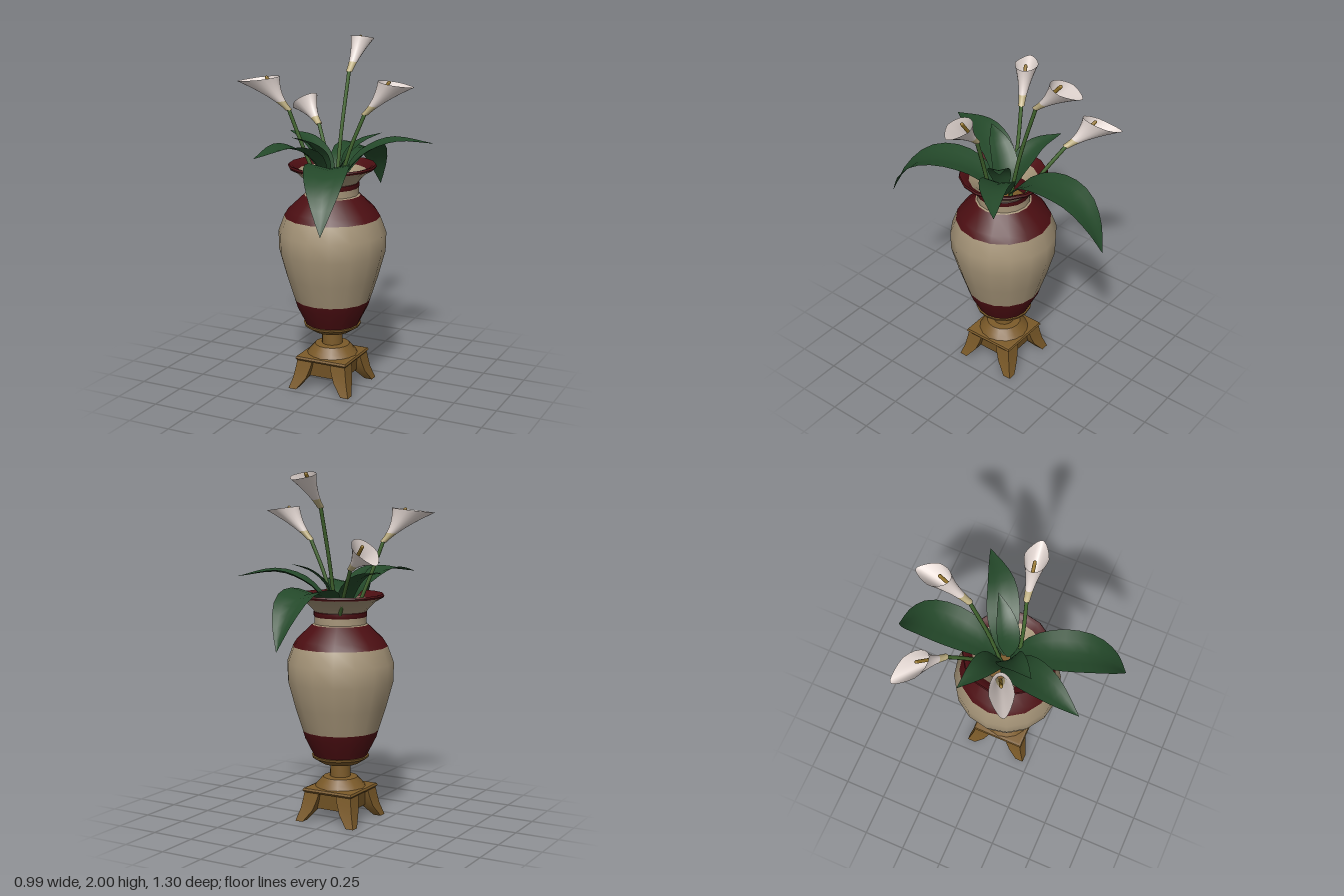
import * as THREE from 'three';
import { toCreasedNormals } from 'three/addons/utils/BufferGeometryUtils.js';

const V = (x, y, z) => new THREE.Vector3(x, y, z);

function material(name, color, side = THREE.FrontSide) {
  const m = new THREE.MeshStandardMaterial({ color, side });
  m.name = name;
  return m;
}

function add(parent, name, geometry, mat) {
  const mesh = new THREE.Mesh(geometry, mat);
  mesh.name = name;
  parent.add(mesh);
  return mesh;
}

// Skin a list of point rows; closed rows wrap around
function loft(rows, closed) {
  const n = rows[0].length, index = [];
  for (let i = 0; i < rows.length - 1; i++) {
    for (let j = 0; j < (closed ? n : n - 1); j++) {
      const k = (j + 1) % n;
      const a = i * n + j, b = i * n + k, c = a + n, d = b + n;
      index.push(a, b, c, b, d, c);
    }
  }
  const g = new THREE.BufferGeometry().setFromPoints(rows.flat());
  g.setIndex(index);
  g.computeVertexNormals();
  return g;
}

// Capped solid of square sections [y, min, max], min and max on both x and z
function squareStack(sections) {
  const rows = sections.map(([y, a, b]) => [V(b, y, b), V(b, y, a), V(a, y, a), V(a, y, b)]);
  const cap = ([y, a, b]) => Array.from({ length: 4 }, () => V((a + b) / 2, y, (a + b) / 2));
  rows.unshift(cap(sections[0]));
  rows.push(cap(sections[sections.length - 1]));
  return toCreasedNormals(loft(rows, true), 0.5);
}

function turned(points, crease = 0.7) {
  const g = new THREE.LatheGeometry(points.map(([r, y]) => new THREE.Vector2(r, y)), 16);
  return toCreasedNormals(g, crease);
}

// Leaf along a spine, folded into a shallow V
function leafGeometry(points, halfWidth) {
  const curve = new THREE.CatmullRomCurve3(points.map(p => V(...p)));
  const rows = [];
  for (let i = 0; i <= 12; i++) {
    const u = i / 12, p = curve.getPointAt(u), t = curve.getTangentAt(u);
    const side = V(t.z, 0, -t.x).normalize();
    const up = t.clone().cross(side);
    const w = halfWidth * (Math.sin(Math.PI * Math.pow(u, 0.9)) + 0.12 * (1 - u));
    rows.push([-1, -0.5, 0, 0.5, 1].map(s =>
      p.clone().addScaledVector(side, s * w).addScaledVector(up, 0.22 * w * Math.abs(s))));
  }
  return loft(rows, false);
}

// Trumpet petal between fractions t0 and t1 of its length
function petalGeometry(base, near, tip, t0, t1, steps) {
  const center = near.clone().lerp(tip, 0.5);
  const half = tip.clone().sub(near).multiplyScalar(0.5);
  const along = half.clone().normalize();
  const side = along.clone().cross(V(0, 1, 0)).normalize();
  const rows = [];
  for (let i = 0; i <= steps; i++) {
    const t = t0 + (t1 - t0) * i / steps;
    const flare = Math.pow(t, 1.8), tube = 0.018 * (1 - t * t);
    const row = [];
    for (let j = 0; j < 20; j++) {
      const a = j / 20 * Math.PI * 2, c = Math.cos(a), s = Math.sin(a);
      const width = 0.066 * s * (1 - 0.4 * Math.max(0, c));
      row.push(base.clone().lerp(center, t)
        .addScaledVector(half, c * flare).addScaledVector(side, width * flare)
        .addScaledVector(along, c * tube).addScaledVector(side, s * tube));
    }
    rows.push(row);
  }
  return loft(rows, true);
}

export function createModel() {
  const model = new THREE.Group();
  model.name = 'vaseOfLilies';
  const beige = material('beige ceramic', 0xa59478);
  const red = material('dark red glaze', 0x4c0e12);
  const gold = material('aged gold', 0x7b5a29);
  const green = material('leaf green', 0x24492a, THREE.DoubleSide);
  const stemGreen = material('stem green', 0x42662f);
  const white = material('petal white', 0xe4d8d3, THREE.DoubleSide);
  const cream = material('petal base cream', 0xbfb083, THREE.DoubleSide);
  const yellow = material('spadix yellow', 0x94742a);

  const vase = new THREE.Group();
  vase.name = 'vase';
  vase.position.z = 0.025;
  model.add(vase);

  // Pedestal: square footed stand, domed top, stem and dish
  const pedestal = new THREE.Group();
  pedestal.name = 'pedestal';
  vase.add(pedestal);
  for (let i = 0; i < 4; i++) {
    add(pedestal, 'foot', squareStack([
      [0, 0.142, 0.19], [0.07, 0.088, 0.168], [0.13, 0.066, 0.157], [0.175, 0.055, 0.15],
    ]), gold).rotation.y = i * Math.PI / 2;
  }
  add(pedestal, 'standCore', squareStack([[0.07, -0.115, 0.115], [0.175, -0.135, 0.135]]), gold);
  add(pedestal, 'standTop', squareStack([
    [0.165, -0.15, 0.15], [0.178, -0.16, 0.16], [0.19, -0.155, 0.155], [0.195, -0.14, 0.14],
  ]), gold);
  add(pedestal, 'dome', turned([
    [0.15, 0.19], [0.13, 0.215], [0.1, 0.248], [0.06, 0.252], [0.058, 0.33],
  ]), gold);
  add(pedestal, 'dish', turned([
    [0.05, 0.33], [0.11, 0.332], [0.162, 0.365], [0.166, 0.378], [0, 0.38],
  ]), gold);

  // Body and neck in painted bands
  const bands = [
    ['lowerBand', red, [[0.155, 0.378], [0.165, 0.4], [0.208, 0.485], [0.22, 0.525]]],
    ['body', beige, [[0.22, 0.525], [0.263, 0.66], [0.304, 0.81], [0.307, 0.92], [0.273, 1.012]]],
    ['shoulder', red, [[0.273, 1.012], [0.25, 1.05], [0.16, 1.135]]],
    ['lowerNeck', beige, [[0.16, 1.135], [0.15, 1.14], [0.15, 1.18]]],
    ['neckStripe', red, [[0.15, 1.18], [0.153, 1.185], [0.153, 1.207], [0.15, 1.21]]],
    ['flare', beige, [[0.15, 1.21], [0.165, 1.23], [0.2, 1.265], [0.245, 1.29]]],
    ['rim', red, [[0.245, 1.29], [0.25, 1.3], [0.245, 1.31], [0.225, 1.305], [0.195, 1.275]]],
    ['innerFlare', beige, [[0.195, 1.275], [0.155, 1.235], [0.138, 1.21]]],
    ['innerNeck', red, [[0.138, 1.21], [0.135, 1.12]]],
    ['innerFloor', gold, [[0.135, 1.12], [0, 1.12]]],
  ];
  for (const [name, mat, points] of bands) add(vase, name, turned(points), mat);

  // Leaves: spine points and half width
  const leaves = [
    ['backDroopingLeaf', 0.115, [[0, 1.18, -0.02], [0, 1.3, -0.15], [0, 1.34, -0.31], [0, 1.31, -0.47], [0, 1.2, -0.58], [0, 1.06, -0.65]]],
    ['frontDroopingLeaf', 0.115, [[0.03, 1.18, 0.03], [0.06, 1.3, 0.15], [0.11, 1.34, 0.31], [0.165, 1.31, 0.46], [0.21, 1.2, 0.58], [0.235, 1.06, 0.65]]],
    ['backLeftLeaf', 0.085, [[0.02, 1.18, 0], [0.14, 1.35, -0.06], [0.3, 1.43, -0.14], [0.49, 1.41, -0.29]]],
    ['frontRightLeaf', 0.095, [[-0.02, 1.18, 0.03], [-0.08, 1.35, 0.12], [-0.14, 1.43, 0.29], [-0.22, 1.41, 0.53]]],
    ['smallLeftLeaf', 0.06, [[0.02, 1.18, 0.02], [0.07, 1.34, 0], [0.14, 1.43, -0.05], [0.235, 1.48, -0.13]]],
    ['smallBackRightLeaf', 0.07, [[-0.02, 1.18, 0], [-0.1, 1.34, -0.03], [-0.2, 1.42, -0.06], [-0.345, 1.45, -0.12]]],
    ['smallFrontRightLeaf', 0.07, [[-0.01, 1.18, 0.02], [-0.05, 1.34, 0.06], [-0.09, 1.43, 0.13], [-0.15, 1.48, 0.225]]],
  ];
  for (const [name, width, points] of leaves) add(model, name, leafGeometry(points, width), green);

  // Flowers: stem points ending at the petal base, near lip and petal tip
  const flowers = [
    ['tallFlower', [[0, 1.1, -0.01], [0, 1.47, -0.09], [0, 1.8, -0.19]], [0, 1.995, -0.285], [0, 1.955, -0.478]],
    ['leftFlower', [[0.04, 1.1, 0.07], [0.125, 1.4, 0.065], [0.205, 1.605, 0.045]], [0.28, 1.795, 0.035], [0.483, 1.768, 0.015]],
    ['rightFlower', [[-0.05, 1.1, 0.02], [-0.17, 1.4, 0.055], [-0.24, 1.605, 0.085]], [-0.285, 1.795, 0.105], [-0.495, 1.768, 0.215]],
    ['lowBackFlower', [[-0.02, 1.1, -0.05], [-0.12, 1.31, -0.15], [-0.215, 1.475, -0.24]], [-0.285, 1.645, -0.3], [-0.475, 1.52, -0.437]],
  ];
  for (const [name, stem, lip, end] of flowers) {
    const flower = new THREE.Group();
    flower.name = name;
    model.add(flower);
    const path = new THREE.CatmullRomCurve3(stem.map(p => V(...p)));
    add(flower, 'stem', new THREE.TubeGeometry(path, 12, 0.011, 8), stemGreen);
    const base = V(...stem[2]), near = V(...lip), tip = V(...end);
    add(flower, 'petalBase', petalGeometry(base, near, tip, 0, 0.28, 3), cream);
    add(flower, 'petal', petalGeometry(base, near, tip, 0.28, 1, 9), white);
    // Spadix rising through the mouth
    const top = near.clone().lerp(tip, 0.32).add(V(0, 0.005, 0));
    const foot = base.clone().lerp(top, 0.4);
    const axis = top.clone().sub(foot);
    const spadix = add(flower, 'spadix', new THREE.CapsuleGeometry(0.01, axis.length() - 0.01, 4, 8), yellow);
    spadix.position.copy(foot).lerp(top, 0.5);
    spadix.quaternion.setFromUnitVectors(V(0, 1, 0), axis.normalize());
  }
  return model;
}
